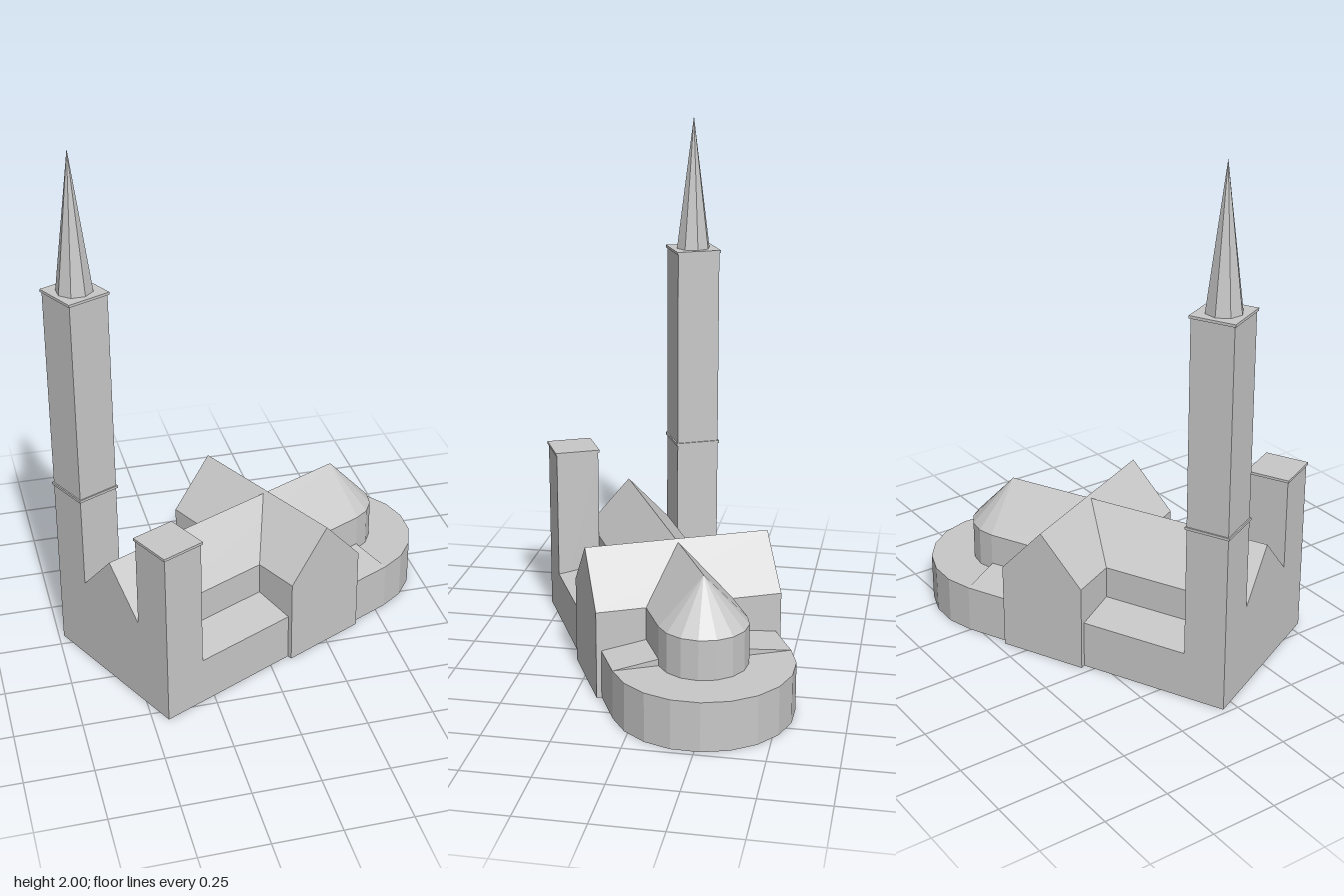
import * as THREE from 'three';

const stone = new THREE.MeshStandardMaterial({ color: 0xc8c8c8, side: THREE.DoubleSide, flatShading: true });
stone.name = 'pale grey';

// Flat-shaded copy of a geometry without the faces lying on the ground
function openBelow(geometry) {
  const source = geometry.index ? geometry.toNonIndexed() : geometry;
  const p = source.attributes.position;
  const kept = [];
  for (let i = 0; i < p.count; i += 3) {
    if (Math.max(p.getY(i), p.getY(i + 1), p.getY(i + 2)) < 1e-4) continue;
    for (let j = i; j < i + 3; j++) kept.push(p.getX(j), p.getY(j), p.getZ(j));
  }
  const result = new THREE.BufferGeometry();
  result.setAttribute('position', new THREE.Float32BufferAttribute(kept, 3));
  result.computeVertexNormals();
  return result;
}

export function createModel() {
  const model = new THREE.Group();
  model.name = 'church';

  const add = (name, geometry) => {
    const mesh = new THREE.Mesh(openBelow(geometry), stone);
    mesh.name = name;
    model.add(mesh);
    return mesh;
  };

  // Box given by its ranges along x, y and z
  const block = (name, x0, x1, y0, y1, z0, z1) =>
    add(name, new THREE.BoxGeometry(x1 - x0, y1 - y0, z1 - z0)
      .translate((x0 + x1) / 2, (y0 + y1) / 2, (z0 + z1) / 2));

  // Cross-section extruded along its own z axis from start to end
  const extrude = (profile, start, end) =>
    new THREE.ExtrudeGeometry(new THREE.Shape(profile.map(([a, b]) => new THREE.Vector2(a, b))),
      { depth: end - start, bevelEnabled: false }).translate(0, 0, start);

  const gable = (half, eaves, ridge) =>
    [[-half, 0], [half, 0], [half, eaves], [0, ridge], [-half, eaves]];

  const west = -0.749, east = 0.344, half = 0.165, outer = 0.333;
  const eaves = 0.335, ridge = 0.512, aisleEaves = 0.185;
  const towerEast = -0.588, transeptHalf = 0.171;

  // Nave with choir, and the taller transept crossing it
  add('nave', extrude(gable(half, eaves, ridge), west, east).rotateY(Math.PI / 2));
  add('transept', extrude(gable(transeptHalf, eaves, 0.523), -0.352, 0.352));

  // Rounded apse with its half-cone roof, and the flat-roofed ambulatory around it
  add('apseWall', new THREE.CylinderGeometry(half, half, eaves, 8, 1, true, 0, Math.PI)
    .translate(east, eaves / 2, 0));
  add('apseRoof', new THREE.ConeGeometry(half, ridge - eaves, 8, 1, true, 0, Math.PI)
    .translate(east, (ridge + eaves) / 2, 0));
  add('ambulatory', new THREE.CylinderGeometry(outer, outer, aisleEaves, 10, 1, false, 0, Math.PI)
    .translate(east, aisleEaves / 2, 0));

  // Lean-to aisles on both sides, west and east of the transept
  for (const side of [-1, 1]) {
    const profile = [[half, 0], [outer, 0], [outer, aisleEaves], [half, 0.21]]
      .map(([z, y]) => [-side * z, y]);
    for (const [start, end] of [[towerEast, -transeptHalf], [transeptHalf, east]]) {
      add('aisle', extrude(profile, start, end).rotateY(Math.PI / 2));
    }
  }

  // Thin slab slightly wider than a tower
  const lip = 0.005;
  const cornice = (y, z0, z1) =>
    block('cornice', west - lip, towerEast + lip, y - 0.01, y, z0 - lip, z1 + lip);

  // Short south tower
  block('southTower', west, towerEast, 0, 0.695, half, outer);
  cornice(0.7, half, outer);

  // Tall north tower with an eight-sided spire
  block('northTower', west, towerEast, 0, 1.478, -outer, -half);
  cornice(0.7, -outer, -half);
  cornice(1.483, -outer, -half);
  add('spire', new THREE.ConeGeometry(0.067, 0.517, 8)
    .translate((west + towerEast) / 2, 1.483 + 0.517 / 2, -(outer + half) / 2));

  // The church stands at an angle to the front
  model.rotation.y = 0.449;
  model.position.set(0.088, 0, -0.077);
  const root = new THREE.Group();
  root.name = 'churchModel';
  root.add(model);
  return root;
}
